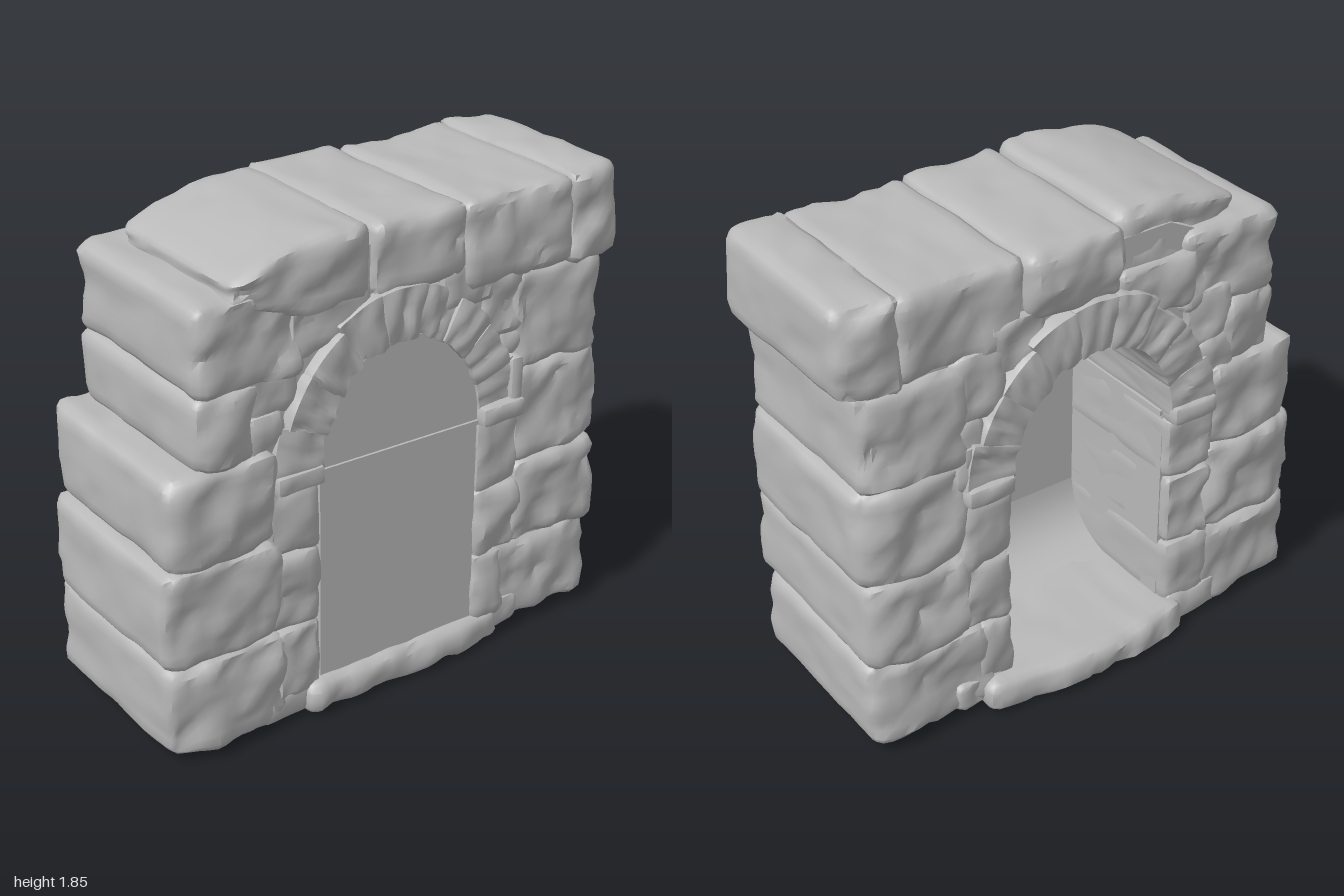
import * as THREE from 'three';
import { mergeVertices, toCreasedNormals } from 'three/addons/utils/BufferGeometryUtils.js';

const stone = new THREE.MeshStandardMaterial({ color: 0xb9b9b9, side: THREE.DoubleSide });
stone.name = 'grey stone';

// Repeatable value noise in -1..1
const hash = (x, y, z) => {
  const s = Math.sin(x * 127.1 + y * 311.7 + z * 74.7) * 43758.5453;
  return (s - Math.floor(s)) * 2 - 1;
};
function noise(x, y, z) {
  const X = Math.floor(x), Y = Math.floor(y), Z = Math.floor(z);
  const mix = THREE.MathUtils.lerp;
  const row = (j, k) => mix(hash(X, Y + j, Z + k), hash(X + 1, Y + j, Z + k), x - X);
  const layer = (k) => mix(row(0, k), row(1, k), y - Y);
  return mix(layer(0), layer(1), z - Z);
}

// Rounded, chipped block between two corners; warp optionally bends the result
let seed = 0;
function rock([x0, x1, y0, y1, z0, z1], { round = 0.05, rough = 0.027, warp, cell = 0.036 } = {}) {
  seed += 7.3;
  const size = [x1 - x0, y1 - y0, z1 - z0];
  const mid = [(x0 + x1) / 2, (y0 + y1) / 2, (z0 + z1) / 2];
  const seg = size.map((s) => Math.max(4, Math.round(s / cell)));
  let g = new THREE.BoxGeometry(...size, ...seg);
  g.deleteAttribute('uv');
  g.deleteAttribute('normal');
  g = mergeVertices(g, 1e-4);
  const r = Math.min(round, ...size.map((s) => s * 0.35));
  const inner = new THREE.Vector3(...size).multiplyScalar(0.5).subScalar(r);
  const low = inner.clone().negate();
  const pos = g.attributes.position;
  const p = new THREE.Vector3(), c = new THREE.Vector3(), d = new THREE.Vector3();
  for (let i = 0; i < pos.count; i++) {
    p.fromBufferAttribute(pos, i);
    c.copy(p).clamp(low, inner);
    d.copy(p).sub(c).normalize();
    // Front and back are rougher than the dressed sides and top
    const amount = rough * (0.35 + 0.85 * Math.abs(d.z));
    const n = 0.7 * noise(p.x * 6 + seed, p.y * 6, p.z * 5)
      + 0.7 * noise(p.x * 12, p.y * 12 + seed, p.z * 9)
      - 0.9 * Math.max(0, noise(p.x * 17 + p.y * 8, p.y * 15 - p.x * 6, p.z * 9 + seed));
    p.copy(c).addScaledVector(d, r + amount * n);
    p.x += mid[0]; p.y += mid[1]; p.z += mid[2];
    if (warp) warp(p);
    pos.setXYZ(i, p.x, p.y, p.z);
  }
  return toCreasedNormals(g, 0.85);
}

// The wall thins a little toward both outer ends
function thinEnds(p) {
  const t = THREE.MathUtils.clamp((Math.abs(p.x) - 0.72) / 0.26, 0, 1);
  p.z *= 1 - (p.z < 0 ? 0.1 : 0.05) * t * t;
}

// Outline of the arched opening
const HALF = 0.35, SILL = 0.13, SPRING = 0.99, RISE = 0.41;
function archOutline(path) {
  path.moveTo(-HALF, SILL);
  path.lineTo(HALF, SILL);
  path.lineTo(HALF, SPRING);
  path.absellipse(0, SPRING, HALF, RISE, 0, Math.PI, false);
  path.lineTo(-HALF, SILL);
  return path;
}

export function createModel() {
  const model = new THREE.Group();
  const add = (name, geometry) => {
    const m = new THREE.Mesh(geometry, stone);
    m.name = name;
    model.add(m);
    return m;
  };

  // Solid wall heart with the niche cut through it
  const heart = new THREE.Shape([
    [-0.9, 0.06], [0.88, 0.06], [0.88, 1.75], [-0.35, 1.76], [-0.55, 1.66], [-0.77, 1.62], [-0.77, 1.08], [-0.9, 1.05],
  ].map(([x, y]) => new THREE.Vector2(x, y)));
  heart.holes.push(archOutline(new THREE.Path()));
  const heartGeo = new THREE.ExtrudeGeometry(heart, { depth: 0.72, bevelEnabled: false, curveSegments: 28 });
  add('wallHeart', toCreasedNormals(heartGeo, 0.6)).position.z = -0.33;

  // Thick panel closing the niche at the front, with a cove down to the floor behind it
  const panelGeo = new THREE.ExtrudeGeometry(archOutline(new THREE.Shape()), {
    depth: 0.195, bevelEnabled: false, curveSegments: 28,
  });
  add('nichePanel', toCreasedNormals(panelGeo, 0.6)).position.z = 0.22;
  const cove = new THREE.Shape();
  cove.moveTo(0, 0);
  cove.lineTo(0.3, 0);
  cove.quadraticCurveTo(0.03, 0.02, 0, 0.25);
  const coveGeo = new THREE.ExtrudeGeometry(cove, { depth: 2 * HALF, bevelEnabled: false });
  coveGeo.rotateY(Math.PI / 2);
  add('floorCove', toCreasedNormals(coveGeo, 0.6)).position.set(-HALF, SILL, 0.22);

  // Thin ledge at the springing line, across the panel and along the niche sides
  const ledge = add('panelLedge', new THREE.BoxGeometry(0.7, 0.018, 0.03));
  ledge.position.set(0, 0.976, 0.41);
  ledge.rotation.z = -0.02;
  for (const s of [-1, 1]) {
    add('sideLedge', new THREE.BoxGeometry(0.014, 0.02, 0.55)).position.set(s * 0.345, 0.98, -0.055);
  }

  // Large wall blocks, running the full depth: x, y and z ranges
  const blocks = {
    leftBlock: [
      [-0.99, -0.5, 0.03, 0.4, -0.395, 0.45],
      [-1.0, -0.53, 0.39, 0.775, -0.395, 0.45],
      [-0.965, -0.53, 0.76, 1.12, -0.385, 0.44],
      [-0.845, -0.59, 1.1, 1.39, -0.365, 0.425],
      [-0.835, -0.4, 1.37, 1.7, -0.365, 0.425],
    ],
    rightBlock: [
      [0.43, 0.95, 0.04, 0.4, -0.38, 0.42],
      [0.52, 0.945, 0.39, 0.75, -0.385, 0.445],
      [0.52, 0.96, 0.735, 1.13, -0.375, 0.435],
      [0.51, 0.935, 1.11, 1.51, -0.37, 0.43],
    ],
    topBlock: [
      [-0.13, 0.28, 1.565, 1.835, -0.385, 0.43],
      [0.27, 0.775, 1.49, 1.825, -0.355, 0.425],
      [0.75, 0.99, 1.485, 1.84, -0.365, 0.435],
    ],
  };
  for (const [name, list] of Object.entries(blocks)) {
    list.forEach((b, i) => add(name + (i + 1), rock(b, { warp: thinEnds })));
  }

  // Top left block rounds down and narrows toward its outer end
  add('slopedTopBlock', rock([-0.69, -0.125, 1.57, 1.85, -0.33, 0.43], {
    warp: (p) => {
      const t = (Math.max(0, -0.3 - p.x) / 0.38) ** 1.5;
      p.y = THREE.MathUtils.lerp(p.y, 1.65 + (p.y - 1.57) * 0.38, t);
      p.z *= 1 - (p.z < 0 ? 0.16 : 0.04) * t;
    },
  }));

  // Smaller stones beside the opening and around the arch, on both faces
  const smalls = [
    [-0.57, -0.35, 0.11, 0.4, -0.385, 0.44], [-0.57, -0.35, 0.39, 0.7, -0.385, 0.435],
    [-0.57, -0.35, 0.69, 0.98, -0.375, 0.43], [-0.65, -0.48, 0.99, 1.26, -0.37, 0.415],
    [-0.65, -0.42, 1.23, 1.46, -0.365, 0.41], [-0.46, -0.12, 1.42, 1.64, -0.37, 0.415],
    [0.345, 0.5, 0.11, 0.4, -0.375, 0.435], [0.345, 0.56, 0.39, 0.68, -0.375, 0.435],
    [0.345, 0.56, 0.67, 0.98, -0.375, 0.43], [0.45, 0.57, 1.0, 1.3, -0.365, 0.415],
    [0.36, 0.58, 1.27, 1.54, -0.365, 0.41], [0.18, 0.42, 1.42, 1.62, -0.365, 0.415],
  ];
  smalls.forEach((b, i) => add('fillStone' + (i + 1), rock(b, { round: 0.032, rough: 0.022, cell: 0.033 })));

  // Ring of tightly set wedge stones: x is the angle, y the distance from the centre
  const COUNT = 9, STEP = Math.PI / COUNT;
  for (let i = 0; i < COUNT; i++) {
    const a = -Math.PI / 2 + i * STEP;
    const outer = i === 4 ? 0.55 : 0.535 + 0.02 * hash(i, 2, 5);
    const proud = 0.012 * hash(i, 4, 1);
    add('archStone' + (i + 1), rock([a - 0.012, a + STEP + 0.012, 0.345, outer, -0.39, 0.435 + proud], {
      round: 0.016, rough: 0.016,
      warp: (p) => {
        const ang = p.x, r = p.y;
        p.x = r * Math.sin(ang);
        p.y = SPRING + (r + 0.05) * Math.cos(ang);
      },
    }));
  }

  // Impost stones carrying the arch
  for (const s of [-1, 1]) {
    const x = s * 0.45;
    add(s < 0 ? 'leftImpost' : 'rightImpost',
      rock([x - 0.1, x + 0.1, 0.95, 1.03, -0.41, 0.46], { round: 0.02, rough: 0.008, cell: 0.03 }));
  }
  add('rightImpostUpstand', rock([0.49, 0.55, 0.98, 1.19, -0.38, 0.44], { round: 0.02, rough: 0.01 }));

  // Threshold slab, bowed outward in the middle, and the beds beside it
  add('threshold', rock([-0.42, 0.48, 0.005, 0.14, -0.42, 0.45], {
    round: 0.04, rough: 0.022,
    warp: (p) => {
      const bow = Math.max(0, 1 - (p.x / 0.45) ** 2);
      p.z *= 1 + bow * (p.z < 0 ? 0.14 : 0.05);
      p.y = Math.max(0, p.y);
    },
  }));
  add('leftBed', rock([-0.62, -0.36, 0.015, 0.16, -0.4, 0.43], { round: 0.035, rough: 0.016 }));
  add('rightBed', rock([0.36, 0.6, 0.03, 0.16, -0.38, 0.42], { round: 0.035, rough: 0.016 }));
  return model;
}
